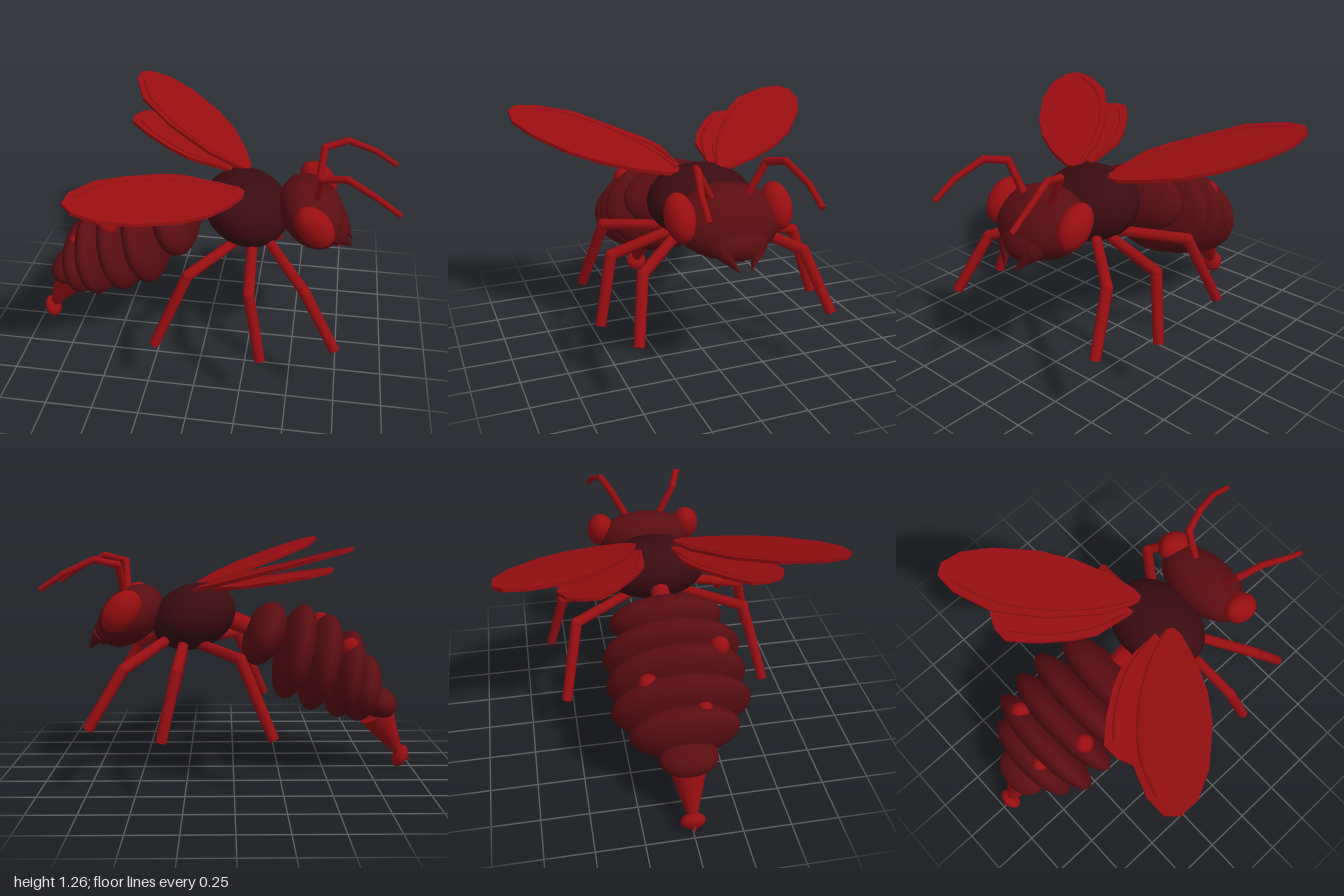
import * as THREE from 'three';

export function createModel() {
  const model = new THREE.Group();
  const mat = (name, color) => {
    const m = new THREE.MeshStandardMaterial({ color });
    m.name = name;
    return m;
  };
  const bright = mat('bright red', 0x980e11);
  const mid = mat('deep red', 0x5a0d10);
  const dark = mat('dark maroon', 0x3a0c0f);
  const V = (p) => new THREE.Vector3(...p);

  const add = (name, geo, material) => {
    const m = new THREE.Mesh(geo, material);
    m.name = name;
    model.add(m);
    return m;
  };

  // Ellipsoid with semi-axes r, turned by tilt degrees in the side plane
  const ellipsoid = (name, pos, r, tilt, material) => {
    const m = add(name, new THREE.SphereGeometry(1, 24, 16), material);
    m.position.set(...pos);
    m.scale.set(...r);
    m.rotation.z = THREE.MathUtils.degToRad(tilt);
    return m;
  };

  // Tapered rod between two points
  const rod = (name, a, b, ra, rb, material, sides = 8) => {
    const d = V(b).sub(V(a));
    const m = add(name, new THREE.CylinderGeometry(rb, ra, d.length(), sides), material);
    m.position.copy(V(a)).addScaledVector(d, 0.5);
    m.quaternion.setFromUnitVectors(new THREE.Vector3(0, 1, 0), d.normalize());
    return m;
  };

  // Body
  ellipsoid('thorax', [0.215, 0.86, 0], [0.235, 0.175, 0.285], -20, dark);
  ellipsoid('head', [0.56, 0.865, 0], [0.2, 0.143, 0.27], -40, mid);
  ellipsoid('snout', [0.66, 0.81, 0], [0.12, 0.08, 0.17], -45, mid);
  rod('waist', [-0.14, 0.78, 0], [0.06, 0.86, 0], 0.05, 0.05, bright);

  // Abdomen rings, front to rear: x, y, half thickness, half height, half width, tilt
  [
    [-0.17, 0.765, 0.106, 0.18, 0.3, 25],
    [-0.335, 0.665, 0.1, 0.265, 0.36, 16],
    [-0.475, 0.605, 0.1, 0.268, 0.36, 15],
    [-0.61, 0.54, 0.095, 0.24, 0.355, 14],
    [-0.71, 0.46, 0.095, 0.183, 0.28, 14],
    [-0.81, 0.375, 0.1, 0.085, 0.15, 20],
  ].forEach(([x, y, a, b, c, t]) => ellipsoid('abdomenRing', [x, y, 0], [a, b, c], t, mid));

  // Bright bumps on the abdomen
  [[-0.62, 0.71, -0.17], [-0.72, 0.585, 0.09], [-0.5, 0.8, 0.21]].forEach((p) =>
    ellipsoid('abdomenBump', p, [0.05, 0.055, 0.05], 15, bright));

  // Stinger
  rod('stingerCone', [-0.8, 0.31, 0], [-0.93, 0.09, 0], 0.1, 0.025, bright, 12);
  ellipsoid('stingerBulb', [-0.94, 0.065, 0], [0.038, 0.064, 0.065], 25, bright);
  rod('stingerTip', [-0.95, 0.065, 0], [-1, 0.04, 0], 0.025, 0, bright);

  // Wing outlines as [x, distance from the centre line]
  const foreOutline = [[0.21, 0.09], [0.21, 0.18], [0.16, 0.33], [0.08, 0.49], [-0.03, 0.63],
    [-0.21, 0.78], [-0.355, 0.85], [-0.47, 0.85], [-0.525, 0.8], [-0.525, 0.69],
    [-0.45, 0.5], [-0.26, 0.31], [-0.02, 0.16]];
  const hindOutline = [[0.12, 0.08], [0.1, 0.2], [-0.03, 0.4], [-0.2, 0.52], [-0.36, 0.56],
    [-0.45, 0.52], [-0.485, 0.44], [-0.485, 0.36], [-0.38, 0.26], [-0.24, 0.16], [-0.12, 0.1]];
  const foreHeight = (x, z) => 1 + 0.28 * (0.2 - x) + 0.06 * z;
  const hindHeight = (x) => 0.995 + 0.2 * (0.2 - x);

  const wing = (name, outline, height, s) => {
    const shape = new THREE.Shape(outline.map(([x, z]) => new THREE.Vector2(x, -s * z)));
    const geo = new THREE.ExtrudeGeometry(shape, { depth: 0.018, bevelEnabled: false });
    geo.rotateX(-Math.PI / 2);
    const p = geo.attributes.position;
    for (let i = 0; i < p.count; i++) {
      p.setY(i, p.getY(i) + height(p.getX(i), Math.abs(p.getZ(i))));
    }
    geo.computeVertexNormals();
    add(name, geo, bright);
  };

  // Raised ridge following a path across a wing
  const ridge = (path, height, s) => {
    const pts = path.map(([x, z]) => new THREE.Vector3(x, height(x, z) + 0.016, s * z));
    add('wingVein', new THREE.TubeGeometry(new THREE.CatmullRomCurve3(pts), 16, 0.008, 5), bright);
  };

  // Jointed limb through a list of points, with rounded joints
  const limb = (name, pts, radii, s) => {
    const q = pts.map(([x, y, z]) => [x, y, s * z]);
    for (let i = 0; i < q.length - 1; i++) {
      rod(name, q[i], q[i + 1], radii[i], radii[i + 1], bright);
      if (i) ellipsoid(name + 'Joint', q[i], [radii[i], radii[i], radii[i]], 0, bright);
    }
  };

  // Paired parts
  for (const s of [1, -1]) {
    ellipsoid('eye', [0.58, 0.915, s * 0.25], [0.125, 0.085, 0.075], -50, bright);
    rod('mandible', [0.71, 0.78, s * 0.1], [0.79, 0.68, s * 0.028], 0.045, 0, mid);
    limb('antenna', [[0.58, 0.98, 0.09], [0.6, 1.15, 0.18], [0.72, 1.18, 0.22],
      [0.87, 1.11, 0.26], [0.99, 1.03, 0.27]], [0.02, 0.02, 0.018, 0.016, 0.014], s);

    const legRadii = [0.028, 0.03, 0.028];
    limb('frontLeg', [[0.36, 0.75, 0.18], [0.555, 0.645, 0.43], [0.73, 0.355, 0.51]], legRadii, s);
    limb('middleLeg', [[0.265, 0.735, 0.18], [0.285, 0.65, 0.51], [0.36, 0.31, 0.595]], legRadii, s);
    limb('rearLeg', [[0.17, 0.725, 0.15], [-0.03, 0.7, 0.46], [-0.195, 0.31, 0.55]], legRadii, s);

    wing('forewing', foreOutline, foreHeight, s);
    wing('hindwing', hindOutline, hindHeight, s);
    ridge([[0.18, 0.11], [-0.02, 0.19], [-0.24, 0.34], [-0.42, 0.54], [-0.49, 0.72]], foreHeight, s);
    ridge([[0.08, 0.09], [-0.12, 0.14], [-0.32, 0.26], [-0.44, 0.38]], hindHeight, s);
  }
  return model;
}
